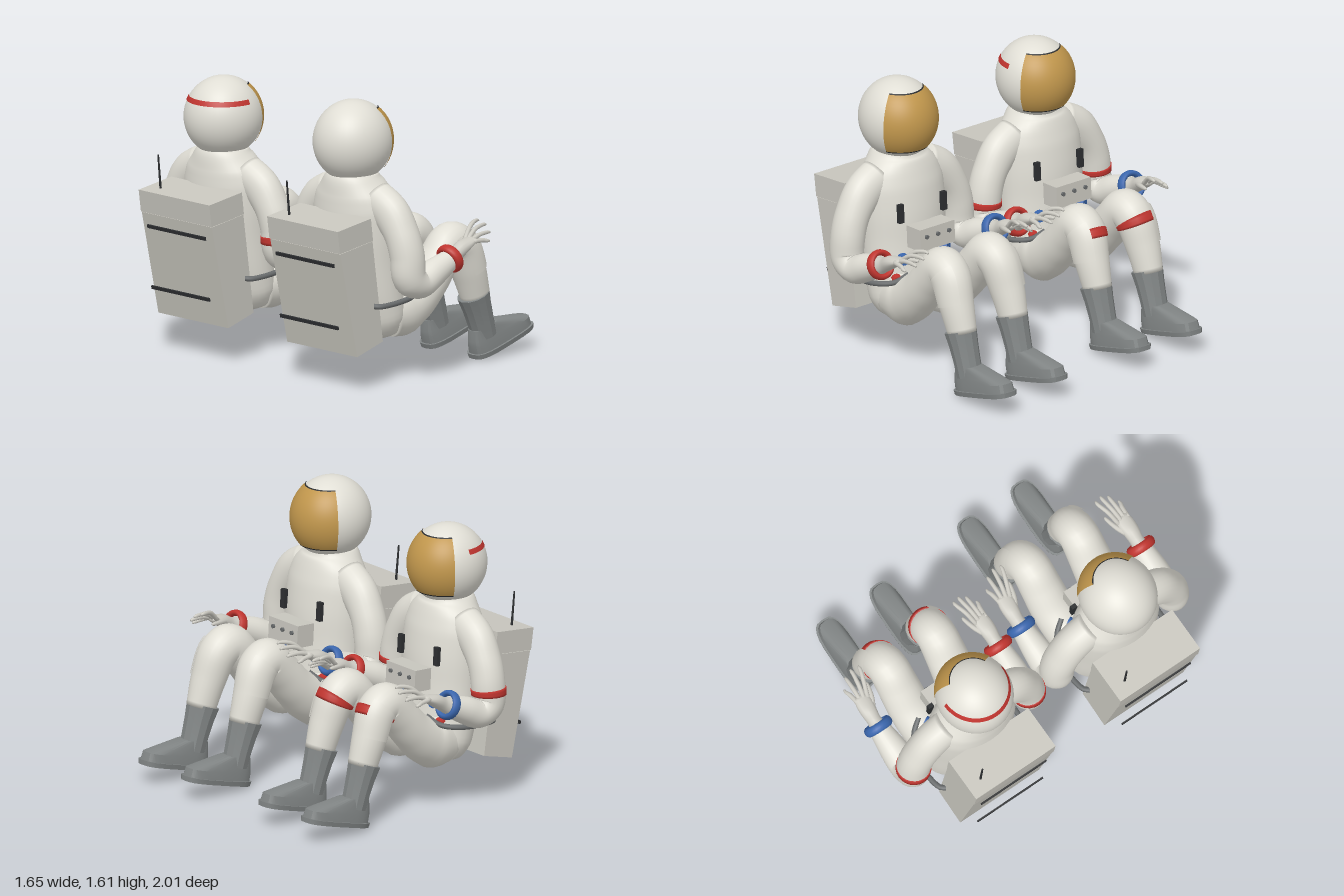
import * as THREE from 'three';
import { toCreasedNormals } from 'three/addons/utils/BufferGeometryUtils.js';

const V = (x, y, z) => new THREE.Vector3(x, y, z);
const mat = (name, color) => Object.assign(new THREE.MeshStandardMaterial({ color }), { name });
const M = {
  suit: mat('suitWhite', 0xe0ded5),
  glove: mat('gloveGrey', 0xcdcbc3),
  pack: mat('packGrey', 0xc8c6be),
  gold: mat('visorGold', 0xc0964c),
  boot: mat('bootGrey', 0x808484),
  hose: mat('hoseGrey', 0x686b6c),
  black: mat('trimBlack', 0x2c2e30),
  red: mat('red', 0xc0352f),
  blue: mat('blue', 0x3a66ad),
};

function add(parent, name, geometry, material, pos = [0, 0, 0], rotZ = 0) {
  const mesh = new THREE.Mesh(geometry, material);
  mesh.name = name;
  mesh.position.set(...pos);
  mesh.rotation.z = rotZ;
  parent.add(mesh);
  return mesh;
}

// Skins a list of rings; closed rings wrap around and get end caps
function skin(rings, closed = true) {
  const n = rings[0].length, pos = [], idx = [];
  rings.forEach(r => r.forEach(p => pos.push(p.x, p.y, p.z)));
  for (let i = 0; i < rings.length - 1; i++) {
    for (let j = 0; j < (closed ? n : n - 1); j++) {
      const a = i * n + j, b = i * n + (j + 1) % n;
      idx.push(a, b, a + n, b, b + n, a + n);
    }
  }
  if (closed) {
    [0, rings.length - 1].forEach((ri, end) => {
      const c = rings[ri].reduce((s, p) => s.add(p), V(0, 0, 0)).divideScalar(n);
      const ci = pos.length / 3;
      pos.push(c.x, c.y, c.z);
      for (let j = 0; j < n; j++) {
        const a = ri * n + j, b = ri * n + (j + 1) % n;
        idx.push(ci, end ? a : b, end ? b : a);
      }
    });
  }
  const g = new THREE.BufferGeometry();
  g.setAttribute('position', new THREE.Float32BufferAttribute(pos, 3));
  g.setIndex(idx);
  g.computeVertexNormals();
  return g;
}

// Limb along [x, y, z, radius across z, radius in the xy plane] stations;
// t0..t1 and a0..a1 cut out a band or panel, grow lifts it off the surface
function limb(st, { seg = 30, sides = 24, t0 = 0, t1 = 1, a0 = 0, a1 = Math.PI * 2, grow = 0 } = {}) {
  const path = new THREE.CatmullRomCurve3(st.map(s => V(s[0], s[1], s[2])));
  const radii = new THREE.CatmullRomCurve3(st.map(s => V(s[3], s[4], 0)));
  const closed = a1 - a0 > 6.28, rings = [];
  for (let i = 0; i <= seg; i++) {
    const t = t0 + (t1 - t0) * i / seg;
    const c = path.getPoint(t), T = path.getTangent(t), r = radii.getPoint(t);
    const S = V(0, 0, 1).addScaledVector(T, -T.z).normalize(), N = T.clone().cross(S);
    const ring = [];
    for (let j = 0; j < (closed ? sides : sides + 1); j++) {
      const a = a0 + (a1 - a0) * j / sides;
      ring.push(c.clone().addScaledVector(S, (r.x + grow) * Math.cos(a))
        .addScaledVector(N, (r.y + grow) * Math.sin(a)));
    }
    rings.push(ring);
  }
  return skin(rings, closed);
}

// Flat rounded outline along x, used for the foot layers
function footRing([y, s0, s1, w]) {
  const ring = [];
  for (let j = 0; j < 24; j++) {
    const a = -j / 24 * Math.PI * 2, c = Math.cos(a), s = Math.sin(a);
    const px = Math.sign(c) * Math.abs(c) ** 0.6, pz = Math.sign(s) * Math.abs(s) ** 0.6;
    ring.push(V((s0 + s1) / 2 + px * (s1 - s0) / 2, y, pz * w));
  }
  return ring;
}

function patch(r, phi, dPhi, th0, th1) {
  return new THREE.SphereGeometry(r, 32, 16, phi - dPhi, dPhi * 2, th0, th1 - th0);
}

function prism(points, depth) {
  const g = new THREE.ExtrudeGeometry(new THREE.Shape(points.map(p => new THREE.Vector2(...p))),
    { depth, bevelEnabled: false });
  return g.translate(0, 0, -depth / 2);
}

function helmet(striped) {
  const g = new THREE.Group();
  g.name = 'helmet';
  g.position.set(-0.42, 1.37, 0);
  g.scale.z = 0.93;
  add(g, 'helmetShell', new THREE.SphereGeometry(0.236, 40, 28), M.suit);
  add(g, 'visor', patch(0.241, Math.PI, 1.08, 0.66, 2.22), M.gold);
  add(g, 'visorTopTrim', patch(0.243, Math.PI, 1.08, 0.64, 0.675), M.black);
  add(g, 'visorBottomTrim', patch(0.243, Math.PI, 1.08, 2.2, 2.24), M.black);
  if (striped) add(g, 'helmetStripe', patch(0.239, 0, 1.6, 1.02, 1.15), M.red);
  return g;
}

function backpack() {
  const g = new THREE.Group();
  g.name = 'backpack';
  add(g, 'packBody', prism([[-0.67, 0.2], [-0.46, 0.255], [-0.545, 0.85], [-0.808, 0.82]], 0.545), M.pack);
  add(g, 'packLid', prism([[-0.813, 0.823], [-0.543, 0.853], [-0.56, 0.985], [-0.832, 0.955]], 0.55), M.pack);
  add(g, 'antenna', new THREE.CylinderGeometry(0.005, 0.007, 0.21, 8), M.black, [-0.755, 1.06, -0.185], 0.1);
  for (const [x, y] of [[-0.81, 0.745], [-0.775, 0.378]]) {
    add(g, 'packBar', new THREE.BoxGeometry(0.01, 0.02, 0.45), M.black, [x, y, 0], 0.2);
  }
  return g;
}

function arm(k, striped) {
  const g = new THREE.Group();
  g.name = k > 0 ? 'rightArm' : 'leftArm';
  const st = [[-0.40, 1.06, 0.16, 0.11, 0.1], [-0.395, 0.99, 0.27, 0.115, 0.1], [-0.39, 0.88, 0.35, 0.1, 0.1],
    [-0.385, 0.76, 0.39, 0.098, 0.1], [-0.375, 0.63, 0.4, 0.095, 0.1], [-0.3, 0.585, 0.405, 0.09, 0.085],
    [-0.19, 0.63, 0.41, 0.08, 0.08], [-0.06, 0.685, 0.415, 0.06, 0.06]].map(([x, y, z, a, b]) => [x, y, z * k, a, b]);
  add(g, 'sleeve', limb(st, { seg: 40 }), M.suit);
  if (striped) add(g, 'sleeveStripe', limb(st, { t0: 0.47, t1: 0.51, seg: 3, grow: 0.004 }), M.red);

  // Wrist ring set square to the forearm
  const ring = add(g, 'wristRing', new THREE.TorusGeometry(0.07, 0.018, 10, 32), k > 0 ? M.red : M.blue,
    [-0.062, 0.69, 0.415 * k]);
  ring.rotation.set(0, Math.PI / 2, 0.4, 'ZYX');
  ring.scale.z = 1.6;

  // Glove: palm, four spread fingers and a thumb on the inner side
  add(g, 'glove', limb([[-0.07, 0.682, 0.415 * k, 0.055, 0.055], [-0.02, 0.705, 0.415 * k, 0.042, 0.042],
    [0.03, 0.735, 0.415 * k, 0.048, 0.04], [0.08, 0.755, 0.412 * k, 0.05, 0.028],
    [0.125, 0.772, 0.41 * k, 0.04, 0.014]], { seg: 14, sides: 14 }), M.glove);
  [[-0.034, 0.26, 0.845], [-0.011, 0.275, 0.825], [0.012, 0.262, 0.79], [0.033, 0.215, 0.755]].forEach(([o, x, y]) => {
    const z = 0.41 + o, tip = 0.395 + o * 1.9;
    add(g, 'finger', limb([[0.1, 0.765, z * k, 0.014, 0.014], [0.17, 0.765 + (y - 0.76) * 0.75, (z + tip) / 2 * k, 0.013, 0.013],
      [x - 0.02, y, tip * k, 0.011, 0.011], [x, y - 0.003, tip * k, 0.006, 0.006]], { seg: 10, sides: 8 }), M.glove);
  });
  add(g, 'thumb', limb([[0.03, 0.735, 0.39 * k, 0.02, 0.02], [0.09, 0.755, 0.355 * k, 0.015, 0.015],
    [0.16, 0.765, 0.335 * k, 0.011, 0.011], [0.175, 0.767, 0.333 * k, 0.006, 0.006]], { seg: 10, sides: 8 }), M.glove);
  return g;
}

function leg(k, striped) {
  const g = new THREE.Group();
  g.name = k > 0 ? 'rightLeg' : 'leftLeg';
  const st = [[-0.28, 0.36, 0.12, 0.13, 0.14], [-0.13, 0.39, 0.145, 0.13, 0.14], [0, 0.49, 0.16, 0.125, 0.12],
    [0.1, 0.605, 0.165, 0.12, 0.115], [0.195, 0.697, 0.168, 0.115, 0.118], [0.265, 0.665, 0.172, 0.113, 0.115],
    [0.33, 0.52, 0.183, 0.1, 0.103], [0.385, 0.36, 0.185, 0.08, 0.09]].map(([x, y, z, a, b]) => [x, y, z * k, a, b]);
  add(g, 'trouserLeg', limb(st, { seg: 44 }), M.suit);
  const span = k > 0 ? [-1.15, 0.4] : [Math.PI - 0.4, Math.PI + 1.15];
  add(g, 'kneePanel', limb(st, { t0: 0.69, t1: 0.86, a0: span[0], a1: span[1], seg: 8, sides: 10, grow: 0.007 }), M.suit);
  if (striped) add(g, 'legStripe', limb(st, { t0: 0.725, t1: 0.76, seg: 4, grow: 0.004 }), M.red);

  // Boot: faceted shaft, shaped foot and flat sole tilted toe-up
  const shaft = limb([[0.37, 0.37, 0.185 * k, 0.09, 0.1], [0.412, 0.255, 0.185 * k, 0.078, 0.083],
    [0.455, 0.12, 0.185 * k, 0.074, 0.076]], { seg: 3, sides: 12 });
  add(g, 'bootShaft', toCreasedNormals(shaft, 0.3), M.boot);
  const foot = new THREE.Group();
  foot.name = 'foot';
  foot.position.set(0.41, 0.003, 0.185 * k);
  foot.rotation.z = 0.26;
  const upper = [[0.02, -0.035, 0.42, 0.076], [0.075, -0.035, 0.415, 0.072], [0.1, -0.03, 0.35, 0.066], [0.162, -0.01, 0.17, 0.056]];
  const sole = [[0, -0.042, 0.425, 0.083], [0.028, -0.045, 0.43, 0.088]];
  add(foot, 'footUpper', toCreasedNormals(skin(upper.map(footRing)), 0.4), M.boot);
  add(foot, 'sole', toCreasedNormals(skin(sole.map(footRing)), 0.5), M.boot);
  g.add(foot);
  return g;
}

function astronaut(name, striped) {
  const g = new THREE.Group();
  g.name = name;
  // Torso from collar down to seat
  add(g, 'torso', limb([[-0.42, 1.19, 0, 0.145, 0.14], [-0.42, 1.15, 0, 0.18, 0.16], [-0.412, 1.08, 0, 0.24, 0.178],
    [-0.4, 0.98, 0, 0.268, 0.195], [-0.385, 0.84, 0, 0.27, 0.2], [-0.37, 0.68, 0, 0.265, 0.195],
    [-0.345, 0.5, 0, 0.265, 0.19], [-0.315, 0.36, 0, 0.26, 0.18], [-0.295, 0.26, 0, 0.21, 0.14],
    [-0.29, 0.205, 0, 0.08, 0.06]], { seg: 40, sides: 32 }), M.suit);
  g.add(helmet(striped), backpack());

  // Chest control unit with knobs
  add(g, 'chestUnit', new THREE.BoxGeometry(0.12, 0.13, 0.25), M.pack, [-0.125, 0.75, 0], 0.06);
  for (const z of [-0.08, 0, 0.08]) {
    add(g, 'knob', new THREE.CylinderGeometry(0.012, 0.012, 0.016, 12), M.hose, [-0.062, 0.77, z], Math.PI / 2);
  }
  for (const k of [1, -1]) {
    g.add(arm(k, striped), leg(k, striped));
    add(g, 'strapTab', new THREE.BoxGeometry(0.025, 0.11, 0.034), M.black, [-0.205, 0.885, 0.155 * k], 0.06);
    const hose = new THREE.CatmullRomCurve3([V(-0.53, 0.47, 0.27 * k), V(-0.5, 0.468, 0.3 * k), V(-0.27, 0.48, 0.305 * k),
      V(-0.16, 0.5, 0.235 * k), V(-0.11, 0.55, 0.17 * k)]);
    add(g, 'hose', new THREE.TubeGeometry(hose, 28, 0.016, 10), M.hose);
    [[M.blue, 0.61, 0.15], [M.red, 0.49, 0.19]].forEach(([m, y, z]) => {
      const port = add(g, 'hosePort', new THREE.CylinderGeometry(0.03, 0.034, 0.05, 16), m, [-0.19, y, z * k]);
      port.rotation.set(0, -0.5 * k, -Math.PI / 2);
    });
  }
  return g;
}

export function createModel() {
  const model = new THREE.Group();
  model.name = 'seatedAstronauts';
  const plain = astronaut('plainAstronaut', false);
  plain.position.z = 0.5;
  const striped = astronaut('stripedAstronaut', true);
  striped.position.set(-0.0166, 0.005, -0.5);
  striped.scale.set(0.98, 0.98, 1);
  model.add(plain, striped);
  return model;
}
